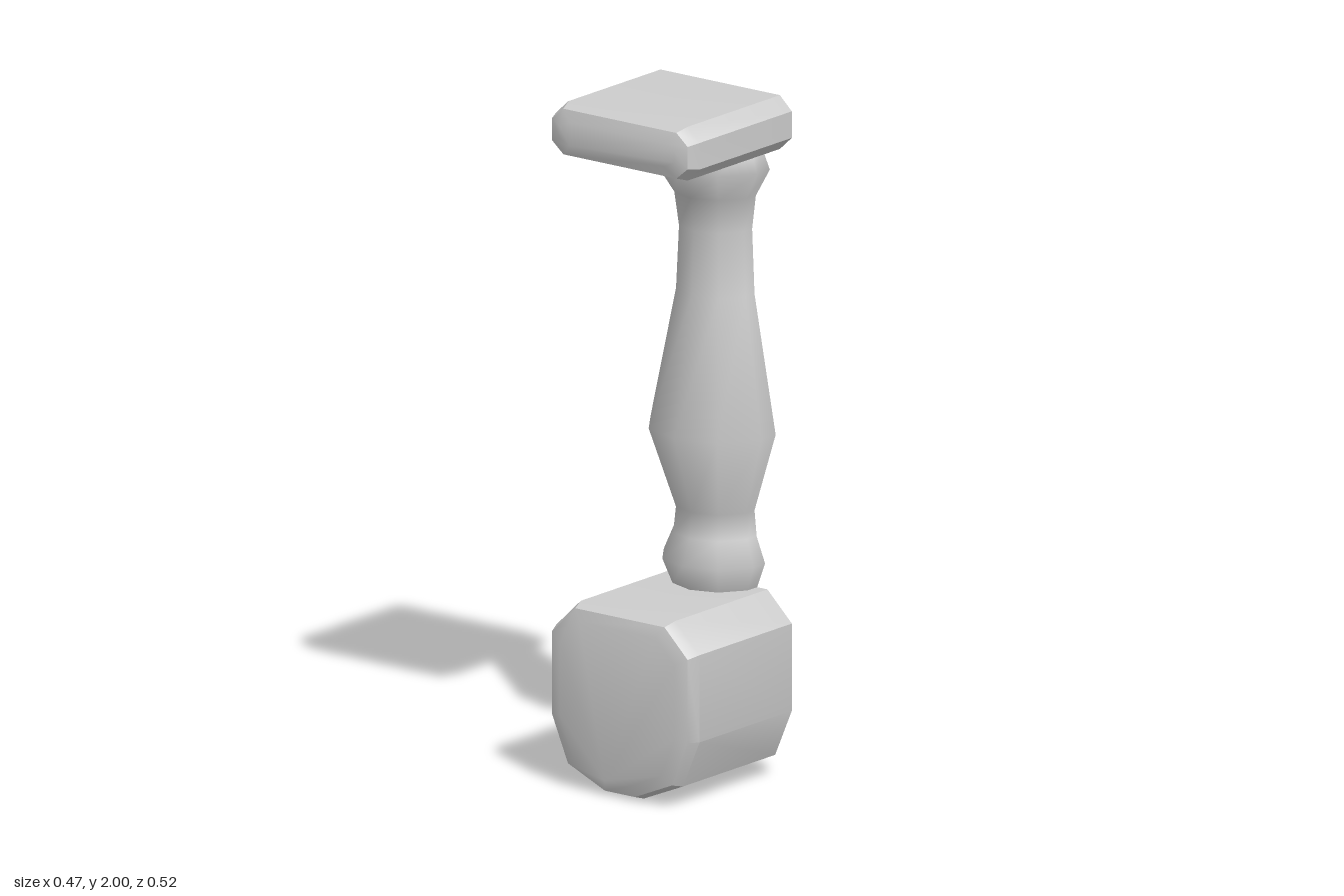
import * as THREE from 'three';
import { toCreasedNormals } from 'three/addons/utils/BufferGeometryUtils.js';

const material = new THREE.MeshStandardMaterial({ color: 0xcccccc });
const shellMaterial = new THREE.MeshStandardMaterial({ color: 0xcccccc, side: THREE.DoubleSide });
const CUT = 0.235; // plane where the half post is cut

function meshGeometry(positions, indices) {
  const g = new THREE.BufferGeometry();
  g.setAttribute('position', new THREE.Float32BufferAttribute(positions, 3));
  g.setIndex(indices);
  g.computeVertexNormals();
  return g;
}

// Bar along x: half profile [halfDepth, y] from bottom to top, mirrored in z.
// The -x end is bevelled, the +x end is a flat cut.
function bar(name, half) {
  const loop = [
    ...half.map(([d, y]) => [-d, y]),
    ...half.slice().reverse().map(([d, y]) => [d, y]),
  ];
  const ys = half.map((p) => p[1]);
  const mid = (Math.min(...ys) + Math.max(...ys)) / 2;
  const halfH = Math.max(...ys) - mid;
  const halfD = Math.max(...half.map((p) => p[0]));
  const sections = [[-CUT, 0.052, 0.045], [-0.222, 0.014, 0.012], [-0.185, 0, 0], [CUT, 0, 0]];
  const n = loop.length, pos = [], idx = [];
  for (const [x, insetZ, insetY] of sections) {
    for (const [z, y] of loop) {
      pos.push(x, mid + (y - mid) * (1 - insetY / halfH), z * (1 - insetZ / halfD));
    }
  }
  for (let j = 0; j < sections.length - 1; j++) {
    for (let i = 0; i < n; i++) {
      const a = j * n + i, b = j * n + (i + 1) % n;
      idx.push(a, b, b + n, a, b + n, a + n);
    }
  }
  // end faces
  const last = (sections.length - 1) * n;
  for (let i = 1; i < n - 1; i++) {
    idx.push(0, i + 1, i, last, last + i, last + i + 1);
  }
  const mesh = new THREE.Mesh(toCreasedNormals(meshGeometry(pos, idx), 0.52), material);
  mesh.name = name;
  return mesh;
}

// Open half shell of a ten-sided turned post
function halfPost(name, profile) {
  const angles = [-90, -72, -36, 0, 36, 72, 90];
  const n = angles.length, pos = [], idx = [];
  for (const [r, y] of profile) {
    for (const deg of angles) {
      const a = THREE.MathUtils.degToRad(deg);
      const s = Math.abs(deg) === 90 ? Math.cos(Math.PI / 10) : 1;
      pos.push(CUT - r * s * Math.cos(a), y, r * s * Math.sin(a));
    }
  }
  for (let j = 0; j < profile.length - 1; j++) {
    for (let i = 0; i < n - 1; i++) {
      const a = j * n + i;
      idx.push(a, a + 1, a + n + 1, a, a + n + 1, a + n);
    }
  }
  const mesh = new THREE.Mesh(meshGeometry(pos, idx), shellMaterial);
  mesh.name = name;
  return mesh;
}

export function createModel() {
  const group = new THREE.Group();
  group.name = 'halfBaluster';

  // base block with rounded underside
  group.add(bar('baseBlock', [[0.057, 0], [0.198, 0.06], [0.258, 0.2], [0.258, 0.456], [0.17, 0.541]]));

  // turned post, from foot ring to collar
  group.add(halfPost('turnedPost', [
    [0.14, 0.541], [0.17, 0.615], [0.138, 0.69], [0.13, 0.765], [0.21, 1.0],
    [0.13, 1.4], [0.121, 1.59], [0.135, 1.69], [0.188, 1.775], [0.155, 1.842],
  ]));

  // cap slab
  group.add(bar('capSlab', [[0.215, 1.842], [0.258, 1.882], [0.258, 1.96], [0.215, 2]]));

  return group;
}
